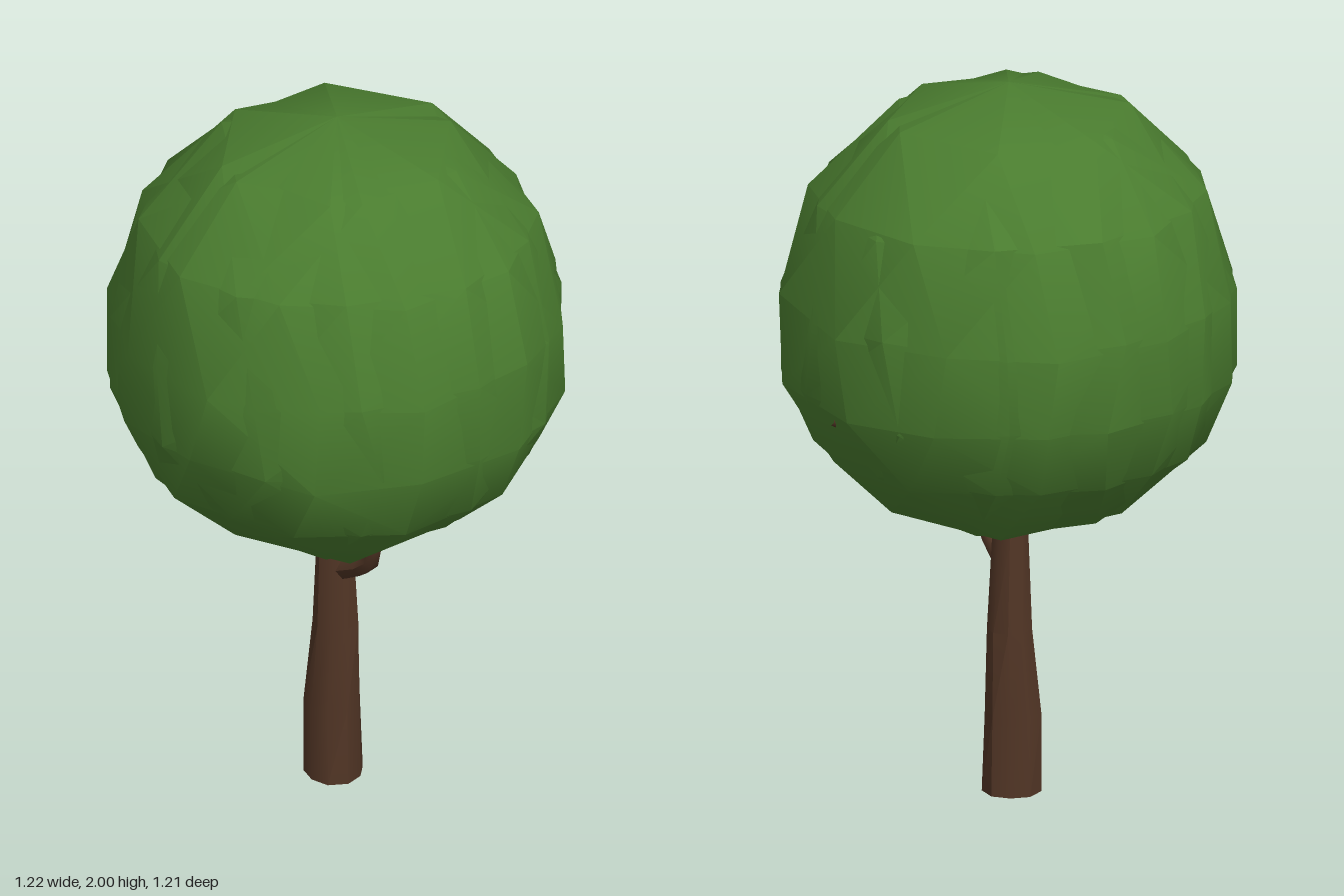
import * as THREE from 'three';
import { toCreasedNormals } from 'three/addons/utils/BufferGeometryUtils.js';
import { ConvexGeometry } from 'three/addons/geometries/ConvexGeometry.js';

const leafGreen = new THREE.MeshStandardMaterial({ color: 0x4a7c2f });
const barkBrown = new THREE.MeshStandardMaterial({ color: 0x513525 });

function seeded(seed) {
  let s = seed;
  return () => (s = (s * 16807) % 2147483647) / 2147483647;
}

// Faceted crown: [height, radius, sides] rings with slight jitter, wrapped in a hull
function crownShell(seed, turn, scale) {
  const rand = seeded(seed);
  const rings = [[1.905, 0.335, 6], [1.7, 0.535, 10], [1.43, 0.615, 12],
    [1.2, 0.615, 12], [1.02, 0.535, 10], [0.84, 0.35, 6]];
  const points = [new THREE.Vector3(0, 2, 0), new THREE.Vector3(0, 0.72, 0)];
  for (const [y, r, n] of rings) {
    for (let i = 0; i < n; i++) {
      const a = ((i + 0.5) / n) * Math.PI * 2 + turn + (rand() - 0.5) * 0.12;
      const k = r * scale * (1 + (rand() - 0.5) * 0.02);
      points.push(new THREE.Vector3(Math.cos(a) * k, y + (rand() - 0.5) * 0.03, Math.sin(a) * k));
    }
  }
  return toCreasedNormals(new ConvexGeometry(points), 0.55);
}

// Limb that tapers evenly along a curve
function limb(points, r0, r1, sides = 6) {
  const curve = new THREE.CatmullRomCurve3(points.map(p => new THREE.Vector3(...p)));
  const steps = 6;
  const geo = new THREE.TubeGeometry(curve, steps, 1, sides);
  const pos = geo.attributes.position;
  const v = new THREE.Vector3();
  for (let i = 0; i < pos.count; i++) {
    const t = Math.floor(i / (sides + 1)) / steps;
    const c = curve.getPointAt(t);
    v.fromBufferAttribute(pos, i).sub(c).multiplyScalar(r0 + (r1 - r0) * t).add(c);
    pos.setXYZ(i, v.x, v.y, v.z);
  }
  geo.computeVertexNormals();
  return geo;
}

// Trunk: rings of [height, centre x, centre z, radius], gently bent and tapered
function trunkGeometry() {
  const rings = [[0, -0.004, 0.007, 0.079], [0.22, -0.006, 0.008, 0.076],
    [0.46, -0.006, -0.002, 0.062], [0.72, -0.004, 0.004, 0.05], [0.95, 0, 0, 0.035]];
  const geo = new THREE.CylinderGeometry(1, 1, rings.length - 1, 9, rings.length - 1);
  const pos = geo.attributes.position;
  for (let i = 0; i < pos.count; i++) {
    const [y, cx, cz, r] = rings[Math.round(pos.getY(i) + (rings.length - 1) / 2)];
    const x = pos.getX(i), z = pos.getZ(i);
    const k = r * (1 + 0.04 * Math.sin(3 * Math.atan2(z, x) + y * 5));
    pos.setXYZ(i, cx + x * k, y, cz + z * k);
  }
  return toCreasedNormals(geo, 0.75);
}

export function createModel() {
  const model = new THREE.Group();
  const add = (name, geo, mat) => {
    const mesh = new THREE.Mesh(geo, mat);
    mesh.name = name;
    model.add(mesh);
  };

  add('trunk', trunkGeometry(), barkBrown);

  // Side branch reaching into the crown, and a hidden one whose tip shows at the back
  add('sideBranch', limb([[0.0, 0.62, 0], [0.07, 0.655, 0.002], [0.145, 0.7, 0.005],
    [0.18, 0.78, 0.012], [0.2, 0.88, 0.015]], 0.034, 0.012), barkBrown);
  add('backBranch', limb([[0, 0.8, 0], [-0.04, 0.98, -0.22], [-0.1, 1.17, -0.585]],
    0.035, 0.012), barkBrown);

  // Two overlapping shells leave irregular creases over the foliage
  add('crown', crownShell(17, 0, 1), leafGreen);
  add('crownCreases', crownShell(91, 0.26, 0.985), leafGreen);
  return model;
}
